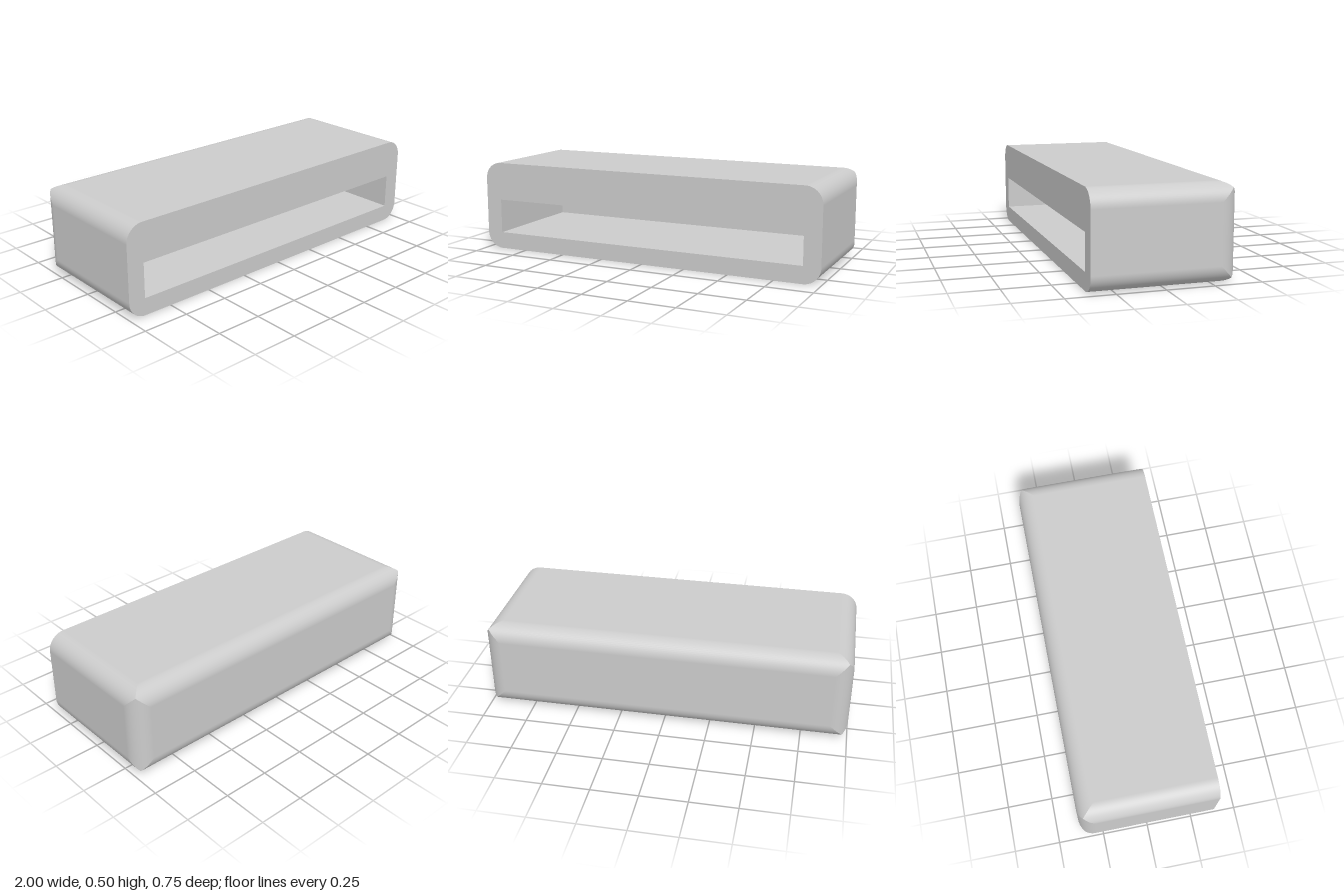
import * as THREE from 'three';

const W = 1, H = 0.25, D = 0.375;  // half sizes of the body
const R = 0.094;                   // edge radius and wall thickness
const SLOT = { bottom: 0.094, top: 0.286, back: -D + R };
const SEGMENTS = 16;               // even, so the mitre tip falls on a row

const material = new THREE.MeshStandardMaterial({ color: 0xcccccc });

// Quarter-round along one axis. centre(x, y, z) lies on its axis; u and v point outwards.
// lo and hi are the straight ends along axis w; a mitred end runs on to meet its neighbours.
function quarterRound(centre, u, v, w, lo, hi, mitreLo, mitreHi) {
  const position = [], normal = [], index = [];
  for (let i = 0; i <= SEGMENTS; i++) {
    const a = (i / SEGMENTS) * Math.PI / 2;
    const n = u.clone().multiplyScalar(Math.cos(a)).addScaledVector(v, Math.sin(a));
    const extra = R * Math.min(Math.cos(a), Math.sin(a));
    for (const t of [lo - (mitreLo ? extra : 0), hi + (mitreHi ? extra : 0)]) {
      const p = centre.clone().addScaledVector(n, R).addScaledVector(w, t);
      position.push(p.x, p.y, p.z);
      normal.push(n.x, n.y, n.z);
    }
  }
  const outward = u.clone().cross(v).dot(w) > 0;
  for (let i = 0; i < SEGMENTS; i++) {
    const a = 2 * i, b = a + 1, c = a + 2, d = a + 3;
    index.push(...(outward ? [a, c, b, b, c, d] : [a, b, c, b, d, c]));
  }
  const geometry = new THREE.BufferGeometry();
  geometry.setAttribute('position', new THREE.Float32BufferAttribute(position, 3));
  geometry.setAttribute('normal', new THREE.Float32BufferAttribute(normal, 3));
  geometry.setIndex(index);
  return geometry;
}

export function createModel() {
  const model = new THREE.Group();
  model.name = 'slottedBlock';
  const vec = (x, y, z) => new THREE.Vector3(x, y, z);
  const add = (name, geometry, x = 0, y = 0, z = 0, rx = 0, ry = 0) => {
    const mesh = new THREE.Mesh(geometry, material);
    mesh.name = name;
    mesh.position.set(x, y, z);
    mesh.rotation.set(rx, ry, 0);
    model.add(mesh);
  };
  const plane = (w, h) => new THREE.PlaneGeometry(w, h);
  const Q = Math.PI / 2;
  const iw = W - R, ih = H - R, id = D - R;  // extents inside the rounding

  // Flat outer faces
  const midZ = R / 2, depth = 2 * D - R;
  add('topFace', plane(2 * iw, depth), 0, 2 * H, midZ, -Q);
  add('bottomFace', plane(2 * iw, depth), 0, 0, midZ, Q);
  add('leftFace', plane(depth, 2 * ih), W, H, midZ, 0, Q);
  add('rightFace', plane(depth, 2 * ih), -W, H, midZ, 0, -Q);
  add('backFace', plane(2 * iw, 2 * ih), 0, H, -D, 0, Math.PI);

  // Rounded edges, mitred together at the back corners
  const X = vec(1, 0, 0), Y = vec(0, 1, 0), Z = vec(0, 0, 1), back = vec(0, 0, -1);
  for (const s of [-1, 1]) {
    for (const t of [-1, 1]) {
      add('longEdge', quarterRound(vec(s * iw, H + t * ih, 0), vec(s, 0, 0), vec(0, t, 0), Z, -id, D, true, false));
    }
    add('backHorizontalEdge', quarterRound(vec(0, H + s * ih, -id), vec(0, s, 0), back, X, -iw, iw, true, true));
    add('backUprightEdge', quarterRound(vec(s * iw, H, -id), vec(s, 0, 0), back, Y, -ih, ih, true, true));
  }

  // Flat front with the slot opening
  const front = new THREE.Shape();
  front.absarc(iw, 2 * H - R, R, 0, Q);
  front.absarc(-iw, 2 * H - R, R, Q, 2 * Q);
  front.absarc(-iw, R, R, 2 * Q, 3 * Q);
  front.absarc(iw, R, R, 3 * Q, 4 * Q);
  const opening = new THREE.Path();
  opening.moveTo(-iw, SLOT.bottom).lineTo(-iw, SLOT.top);
  opening.lineTo(iw, SLOT.top).lineTo(iw, SLOT.bottom).closePath();
  front.holes.push(opening);
  add('frontFace', new THREE.ShapeGeometry(front, SEGMENTS), 0, 0, D);

  // Slot walls, facing inwards
  const sh = SLOT.top - SLOT.bottom, sy = (SLOT.top + SLOT.bottom) / 2;
  const sd = D - SLOT.back, sz = (D + SLOT.back) / 2;
  add('slotFloor', plane(2 * iw, sd), 0, SLOT.bottom, sz, -Q);
  add('slotCeiling', plane(2 * iw, sd), 0, SLOT.top, sz, Q);
  add('slotLeftWall', plane(sd, sh), iw, sy, sz, 0, -Q);
  add('slotRightWall', plane(sd, sh), -iw, sy, sz, 0, Q);
  add('slotBackWall', plane(2 * iw, sh), 0, sy, SLOT.back);

  return model;
}
